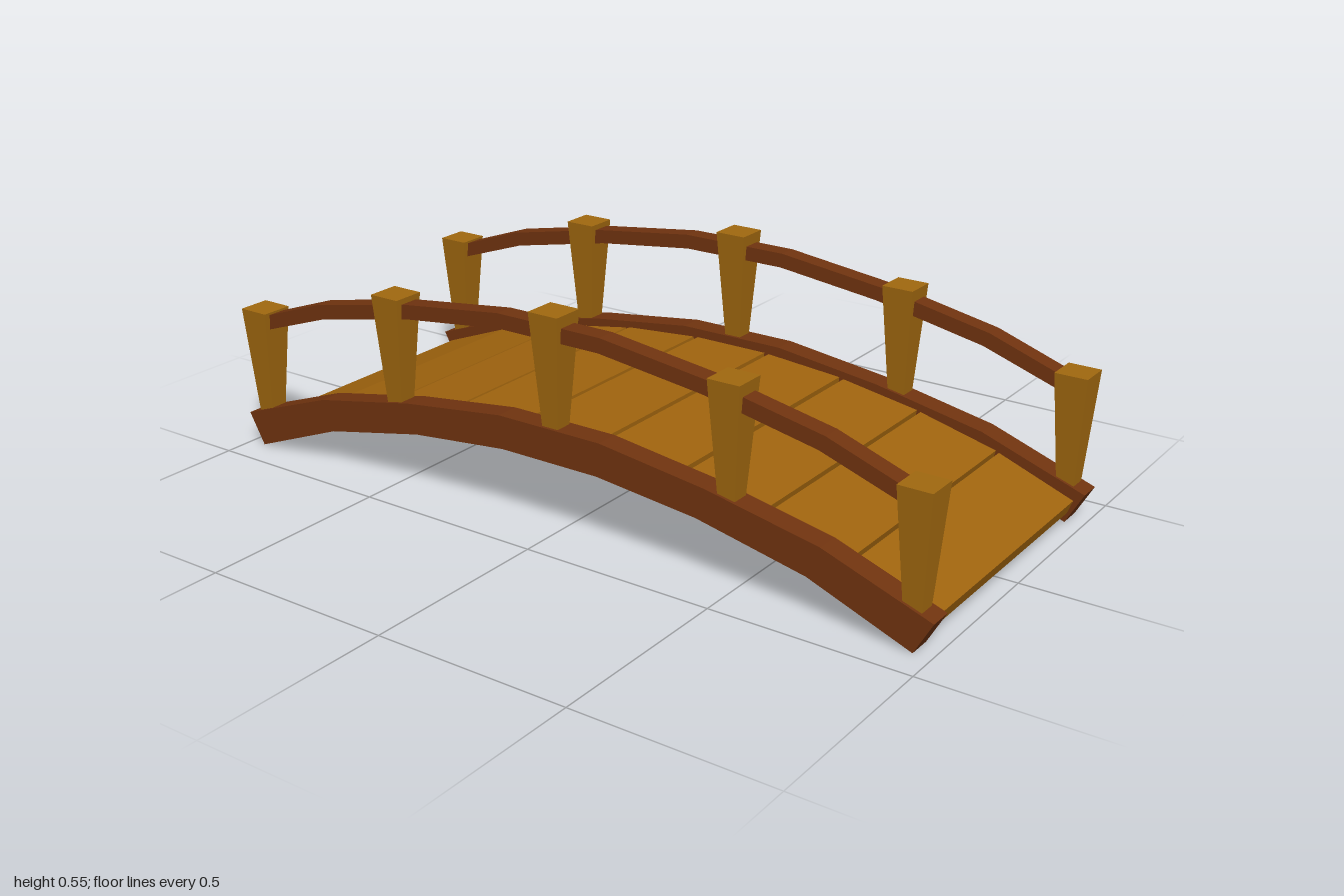
import * as THREE from 'three';

const mat = (name, color) => {
  const m = new THREE.MeshStandardMaterial({ color });
  m.name = name;
  return m;
};

// Symmetric arched bar: half profiles of [z, y] from crown to end, extruded across x
function archedBar(top, bottom, width) {
  const mirror = (pts) => [...pts].reverse().map(([z, y]) => [-z, y]);
  const outline = [...mirror(top), ...top, ...[...bottom].reverse(), ...bottom.map(([z, y]) => [-z, y])];
  const shape = new THREE.Shape(outline.map(([z, y]) => new THREE.Vector2(z, y)));
  const geo = new THREE.ExtrudeGeometry(shape, { depth: width, bevelEnabled: false });
  return geo.translate(0, 0, -width / 2).rotateY(-Math.PI / 2);
}

// Square post that widens towards its flat top
function taperedPost(bottomWidth, topWidth, height) {
  const geo = new THREE.CylinderGeometry(topWidth / Math.SQRT2, bottomWidth / Math.SQRT2, height, 4);
  return geo.rotateY(Math.PI / 4).translate(0, -height / 2, 0).toNonIndexed();
}

export function createModel() {
  const bridge = new THREE.Group();
  bridge.name = 'footbridge';
  const darkWood = mat('dark wood', 0x70330f);
  const plankWood = mat('plank wood', 0xa0640e);
  const postWood = mat('post wood', 0xa0680f);

  const add = (parent, name, geo, material, x = 0, y = 0, z = 0) => {
    geo.computeVertexNormals();
    const mesh = new THREE.Mesh(geo, material);
    mesh.name = name;
    mesh.position.set(x, y, z);
    parent.add(mesh);
    return mesh;
  };

  // Side beams, handrails and posts
  for (const [label, s] of [['left', 1], ['right', -1]]) {
    const side = new THREE.Group();
    side.name = label + 'Side';
    bridge.add(side);
    const x = s * 0.386;
    add(side, 'beam', archedBar(
      [[0.146, 0.273], [0.432, 0.236], [0.727, 0.178], [1, 0.081]],
      [[0.138, 0.189], [0.41, 0.16], [0.695, 0.1], [0.955, 0]], 0.061), darkWood, x);
    add(side, 'handrail', archedBar(
      [[0.146, 0.524], [0.432, 0.488], [0.727, 0.43], [0.95, 0.352]],
      [[0.142, 0.487], [0.42, 0.453], [0.712, 0.395], [0.938, 0.318]], 0.049), darkWood, x);
    for (const [z, top] of [[-0.945, 0.374], [-0.485, 0.5], [0, 0.553], [0.485, 0.5], [0.945, 0.374]]) {
      add(side, 'post', taperedPost(0.044, 0.083, 0.287), postWood, x, top, z);
    }
  }

  // Deck planks, each [inner z, inner y, outer z, outer y] along its top face
  const deck = new THREE.Group();
  deck.name = 'deck';
  bridge.add(deck);
  const thickness = 0.038;
  const plank = (z0, y0, z1, y1) => {
    const length = Math.hypot(z1 - z0, y1 - y0);
    const geo = new THREE.BoxGeometry(0.715, thickness, length).translate(0, -thickness / 2, 0);
    const mesh = add(deck, 'plank', geo, plankWood, 0, (y0 + y1) / 2, (z0 + z1) / 2);
    mesh.rotation.x = Math.atan2(y0 - y1, z1 - z0);
  };
  plank(-0.104, 0.25, 0.104, 0.25);
  for (const [z0, y0, z1, y1] of [
    [0.117, 0.249, 0.328, 0.232], [0.34, 0.229, 0.55, 0.194],
    [0.56, 0.191, 0.767, 0.139], [0.775, 0.135, 0.973, 0.06]]) {
    plank(z0, y0, z1, y1);
    plank(-z1, y1, -z0, y0);
  }
  return bridge;
}
